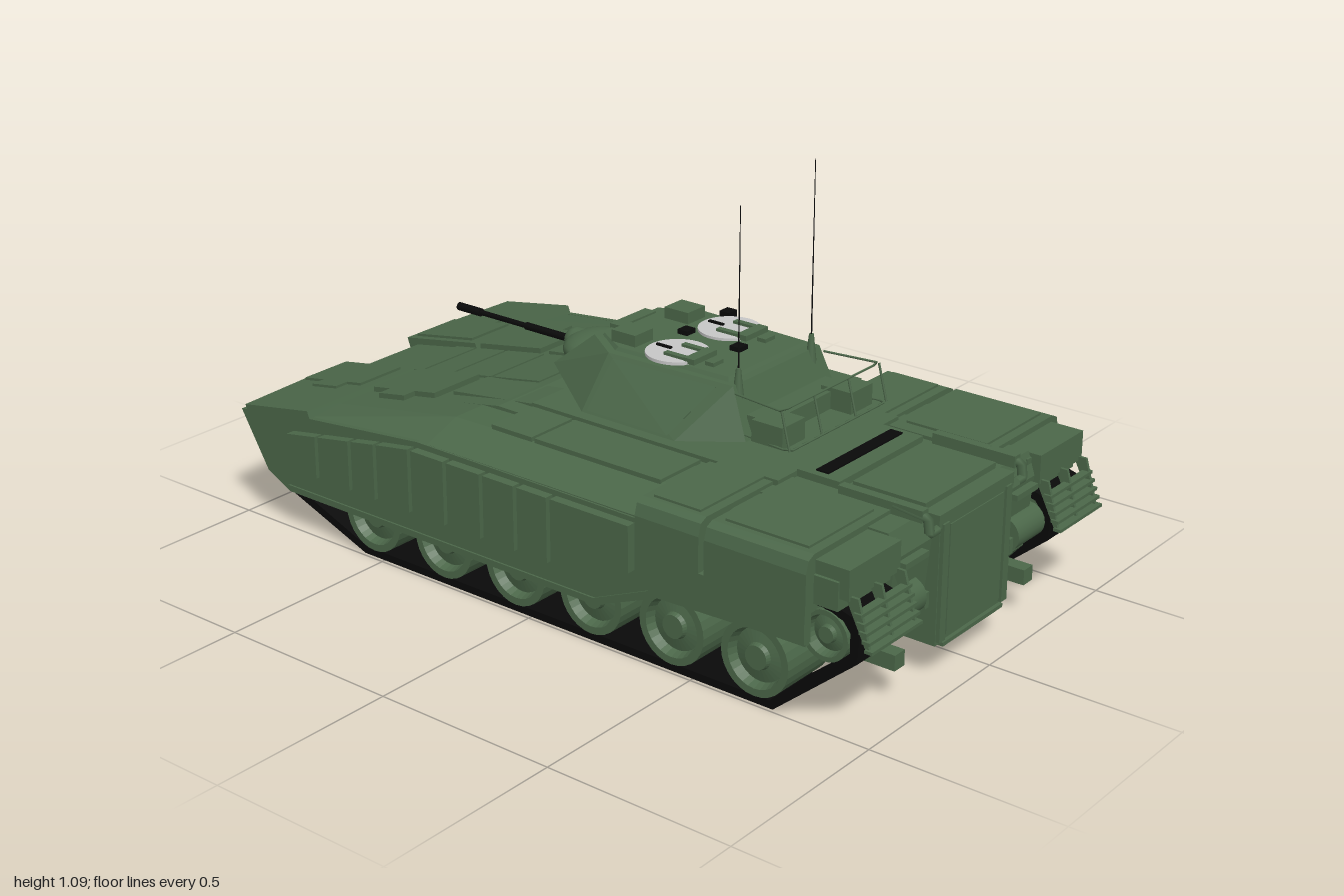
import * as THREE from 'three';
import { ConvexGeometry } from 'three/addons/geometries/ConvexGeometry.js';

const paint = (name, color) => Object.assign(new THREE.MeshStandardMaterial({ color }), { name });

export function createModel() {
  const green = paint('armour green', 0x4b6749);
  const black = paint('track black', 0x090909);
  const grey = paint('hatch grey', 0xc6c6c6);
  const model = new THREE.Group();
  model.name = 'trackedVehicle';

  const group = (name) => {
    const g = new THREE.Group();
    g.name = name;
    model.add(g);
    return g;
  };
  const add = (parent, name, geo, mat = green) => {
    const m = new THREE.Mesh(geo, mat);
    m.name = name;
    parent.add(m);
    return m;
  };
  // Box given by its limits on each axis
  const box = (parent, name, x0, x1, y0, y1, z0, z1, mat) =>
    add(parent, name, new THREE.BoxGeometry(Math.abs(x1 - x0), y1 - y0, z1 - z0)
      .translate((x0 + x1) / 2, (y0 + y1) / 2, (z0 + z1) / 2), mat);
  // Side profile of [z, y] points stretched from xa to xb
  const slab = (parent, name, profile, xa, xb, mat, hole) => {
    const shape = new THREE.Shape(profile.map((p) => new THREE.Vector2(...p)));
    if (hole) shape.holes.push(new THREE.Path(hole.map((p) => new THREE.Vector2(...p))));
    const geo = new THREE.ExtrudeGeometry(shape, { depth: Math.abs(xb - xa), bevelEnabled: false });
    geo.rotateY(-Math.PI / 2).translate(Math.max(xa, xb), 0, 0);
    return add(parent, name, geo, mat);
  };
  const hull = (parent, name, pts) =>
    add(parent, name, new ConvexGeometry(pts.map((p) => new THREE.Vector3(...p))));
  const axle = (parent, name, r, x0, x1, y, z, mat, sides = 24) =>
    add(parent, name, new THREE.CylinderGeometry(r, r, Math.abs(x1 - x0), sides)
      .rotateZ(Math.PI / 2).translate((x0 + x1) / 2, y, z), mat);
  const tube = (parent, name, pts, r, mat) => {
    const path = new THREE.CurvePath();
    const v = pts.map((p) => new THREE.Vector3(...p));
    for (let i = 1; i < v.length; i++) path.add(new THREE.LineCurve3(v[i - 1], v[i]));
    return add(parent, name, new THREE.TubeGeometry(path, pts.length * 6, r, 6), mat);
  };
  // Height of the sloping front deck
  const deck = (z) => Math.min(0.425, 0.425 + (z + 0.27) * 0.172);
  const plate = (parent, name, x0, x1, z0, z1, h, sink = 0.01) => slab(parent, name,
    [[z0, deck(z0) - sink], [z1, deck(z1) - sink], [z1, deck(z1) + h], [z0, deck(z0) + h]], x0, x1);

  // Central hull with sloping nose and belly
  const body = group('hull');
  slab(body, 'centralHull', [[0.9, 0.17], [0.92, 0.36], [0.9, 0.42], [-0.27, 0.425], [-0.96, 0.3],
    [-0.9, 0.15], [-0.6, 0.1], [0.6, 0.1], [0.84, 0.1]], -0.3, 0.3);
  box(body, 'rearDoorHousing', -0.15, 0.15, 0.09, 0.4, 0.55, 0.94);
  box(body, 'rearDoor', -0.115, 0.115, 0.11, 0.39, 0.94, 0.948);
  box(body, 'doorHeader', -0.16, 0.16, 0.39, 0.425, 0.85, 0.945);
  box(body, 'doorSill', -0.13, 0.13, 0.085, 0.095, 0.9, 0.95);
  for (const x of [-0.135, 0.135]) box(body, 'doorFrame', x - 0.012, x + 0.012, 0.1, 0.4, 0.935, 0.95);
  box(body, 'rearRoofHatch', -0.15, 0.15, 0.42, 0.44, 0.7, 0.9);
  box(body, 'roofVentFrame', -0.175, 0.175, 0.42, 0.44, 0.56, 0.68);
  box(body, 'roofVent', -0.155, 0.155, 0.438, 0.444, 0.6, 0.635, black);
  box(body, 'midDeck', -0.25, 0.25, 0.41, 0.436, -0.2, 0.56);

  // Nose steps on the centre line
  for (const [a, b] of [[-0.8, -0.72], [-0.72, -0.61], [-0.61, -0.47], [-0.47, -0.3]])
    plate(body, 'centreNosePlate', -0.105, 0.105, a + 0.005, b - 0.005, 0.004);

  for (const s of [-1, 1]) {
    const side = group(s > 0 ? 'leftSide' : 'rightSide');
    const X = (x) => s * x;

    // Sponson: level part, then the wedge to the nose
    const section = (z, inner, outer, low) => [[X(0.28), inner, z], [X(0.4), inner, z],
      [X(0.505), outer, z], [X(0.505), low, z], [X(0.28), low, z]];
    hull(side, 'rearSponson', [...section(0.91, 0.405, 0.38, 0.31), ...section(0.3, 0.425, 0.375, 0.31)]);
    hull(side, 'midSponson', [...section(0.3, 0.425, 0.375, 0.31), ...section(-0.32, 0.415, 0.375, 0.31)]);
    hull(side, 'frontSponson', [...section(-0.32, 0.415, 0.375, 0.31), ...section(-0.8, 0.333, 0.325, 0.3)]);
    hull(side, 'noseSponson', [...section(-0.8, 0.333, 0.325, 0.3), ...section(-0.985, 0.302, 0.3, 0.28)]);

    // Nose blocks and stepped armour plates
    hull(side, 'noseBlock', [[-0.74, 0.12, 0.51], [-0.975, 0.12, 0.51], [-1, 0.12, 0.2]].flatMap(([z, a, b]) =>
      [a, b].flatMap((x) => [[X(x), deck(z) + 0.012, z], [X(x), deck(z) - 0.02, z + 0.012]])));
    plate(side, 'nosePlate', X(0.12), X(0.29), -0.72, -0.5, 0.013);
    plate(side, 'nosePlateStep', X(0.29), X(0.33), -0.66, -0.57, 0.013);
    plate(side, 'noseBlockStep', X(0.29), X(0.33), -0.91, -0.82, 0.019);
    plate(side, 'noseBlockPad', X(0.14), X(0.29), -0.98, -0.77, 0.019);
    plate(side, 'driverDeck', X(0.12), X(0.25), -0.47, -0.2, 0.008);
    box(side, 'sideDeckFront', X(0.26), X(0.41), 0.42, 0.432, -0.19, -0.06);
    box(side, 'sideDeckRear', X(0.26), X(0.41), 0.42, 0.432, -0.05, 0.34);

    // Rear stowage boxes with rounded upper edges
    for (const [z0, z1, x1] of [[0.36, 0.545, 0.53], [0.565, 0.845, 0.535]]) {
      hull(side, 'stowageBox', [z0, z1].flatMap((z) => [[0.2, 0.405], [0.2, 0.43], [x1 - 0.03, 0.43],
        [x1 - 0.009, 0.42], [x1, 0.39], [x1, 0.29], [0.4, 0.29]].map(([x, y]) => [X(x), y, z])));
      box(side, 'stowageLid', X(0.24), X(0.49), 0.43, 0.436, z0 + 0.025, z1 - 0.025);
    }
    box(side, 'rearEndCap', X(0.3), X(0.5), 0.34, 0.415, 0.84, 0.935);
    box(side, 'roofRail', X(0.185), X(0.21), 0.42, 0.45, 0.7, 0.93);
    tube(side, 'rearHose', [[X(0.2), 0.44, 0.85], [X(0.2), 0.43, 0.94], [X(0.2), 0.395, 0.945], [X(0.17), 0.395, 0.945]], 0.012);

    // Side skirt and its bolted panels
    slab(side, 'skirt', [[0.83, 0.37], [0.83, 0.2], [0.43, 0.195], [0.22, 0.11], [-0.82, 0.11],
      [-0.9, 0.15], [-0.99, 0.3], [-0.8, 0.33], [-0.35, 0.375]], X(0.495), X(0.51));
    slab(side, 'skirtRearBand', [[0.84, 0.3], [0.84, 0.215], [0.42, 0.2], [0.36, 0.235], [0.36, 0.3]], X(0.505), X(0.53));
    const cuts = [0.35, 0.1, -0.005, -0.115, -0.235, -0.355, -0.475, -0.565, -0.685, -0.8];
    const top = (z) => Math.min(0.36, 0.36 + (z + 0.37) * 0.17);
    for (let i = 0; i < cuts.length - 1; i++) {
      const a = cuts[i] - 0.006, b = cuts[i + 1] + 0.006;
      slab(side, 'skirtPanel', [[a, i ? 0.19 : 0.24], [b, 0.19], [b, top(b)], [a, top(a)]], X(0.505), X(0.535));
    }
    slab(side, 'skirtLowerRail', [[0.42, 0.215], [0.22, 0.13], [-0.82, 0.13], [-0.82, 0.115], [0.2, 0.115], [0.42, 0.2]], X(0.505), X(0.515));

    // Track band
    const run = group(s > 0 ? 'leftRunningGear' : 'rightRunningGear');
    slab(run, 'track', [[0.73, 0], [-0.57, 0], [-0.9, 0.125], [-0.985, 0.275], [-0.95, 0.29],
      [-0.8, 0.3], [0.87, 0.32], [0.94, 0.3], [0.96, 0.26], [0.955, 0.19]], X(0.32), X(0.49), black,
    [[0.72, 0.02], [0.935, 0.2], [0.935, 0.26], [0.915, 0.285], [0.86, 0.3], [-0.8, 0.28],
      [-0.94, 0.268], [-0.885, 0.145], [-0.565, 0.02]]);

    // Road wheels: dished outer face, turned about the axle
    const dish = [[0, 0.16], [0.03, 0.16], [0.034, 0.148], [0.068, 0.14], [0.076, 0.165], [0.095, 0.165], [0.095, 0], [0, 0]]
      .map((p) => new THREE.Vector2(...p)).reverse();
    const wheel = (name, y, z, k) => {
      const m = add(run, name, new THREE.LatheGeometry(dish, 28).toNonIndexed());
      m.geometry.computeVertexNormals();
      m.rotation.z = -s * Math.PI / 2;
      m.scale.set(k, 1, k);
      m.position.set(X(0.33), y, z);
    };
    for (const z of [0.68, 0.44, 0.195, -0.045, -0.285, -0.53]) {
      wheel('roadWheel', 0.115, z, 1);
      axle(run, 'wheelAxle', 0.025, X(0.27), X(0.34), 0.115, z, green, 12);
      slab(run, 'swingArm', [[z, 0.095], [z, 0.135], [z - 0.1, 0.17], [z - 0.1, 0.13]], X(0.295), X(0.315));
    }
    wheel('rearSprocket', 0.235, 0.87, 0.66);
    wheel('frontIdler', 0.225, -0.87, 0.5);
    axle(run, 'finalDrive', 0.045, X(0.2), X(0.32), 0.235, 0.9, green, 20);

    // Rear mudguard slats on brackets, tow hooks and lamps
    for (let i = 0; i < 5; i++) {
      const y = 0.23 + i * 0.02, z = 0.993 - i * 0.008;
      box(side, 'mudguardSlat', X(0.3), X(0.5), y, y + 0.008, z - 0.014, z + 0.007);
    }
    for (const x of [0.31, 0.4, 0.49])
      slab(side, 'mudguardBracket', [[0.98, 0.23], [0.99, 0.23], [0.955, 0.35], [0.92, 0.35]], X(x - 0.004), X(x + 0.004));
    box(side, 'rearTowHook', X(0.26), X(0.3), 0.085, 0.125, 0.8, 0.93);
    box(side, 'rearLamp', X(0.175), X(0.19), 0.2, 0.24, 0.9, 0.935);
    box(side, 'rearHandle', X(0.19), X(0.285), 0.335, 0.35, 0.91, 0.94);
    const hook = add(side, 'frontTowHook', new THREE.TorusGeometry(0.016, 0.006, 6, 12).rotateY(Math.PI / 2));
    hook.position.set(X(0.2), 0.15, -0.905);
  }

  // Turret: faceted shell on a round ring
  const turret = group('turret');
  add(turret, 'turretRing', new THREE.CylinderGeometry(0.19, 0.19, 0.05, 40).scale(1, 1, 1.3).translate(0, 0.452, 0.13));
  const both = (pts) => pts.flatMap(([x, y, z]) => [[x, y, z], [-x, y, z]]);
  hull(turret, 'turretShell', both([[0.15, 0.467, -0.17], [0.16, 0.515, -0.205], [0.27, 0.465, -0.02],
    [0.272, 0.465, 0.27], [0.19, 0.475, 0.42], [0.125, 0.605, -0.1], [0.19, 0.6, 0.0], [0.175, 0.6, 0.37]]));
  hull(turret, 'roofPlate', both([[0.12, 0.595, -0.09], [0.175, 0.595, 0], [0.165, 0.595, 0.35],
    [0.11, 0.61, -0.08], [0.165, 0.61, 0.01], [0.155, 0.61, 0.34]]));
  for (const s of [-1, 1]) hull(turret, 'cheekPlate', [[0.275, 0.475, 0], [0.277, 0.475, 0.25], [0.2, 0.592, 0.02],
    [0.19, 0.592, 0.33], [0.24, 0.475, 0.01], [0.24, 0.475, 0.24]].map(([x, y, z]) => [s * x, y, z]));

  // Gun with mantlet
  const gun = group('gun');
  add(gun, 'mantletCollar', new THREE.SphereGeometry(0.1, 20, 12).scale(1, 0.42, 0.9).translate(0, 0.515, -0.19));
  add(gun, 'mantlet', new THREE.CapsuleGeometry(0.034, 0.07, 6, 16).rotateX(Math.PI / 2).translate(0, 0.515, -0.23));
  const barrel = (name, r, z0, z1) => add(gun, name,
    new THREE.CylinderGeometry(r, r, z1 - z0, 12).rotateX(Math.PI / 2).translate(0, 0.512, (z0 + z1) / 2), black);
  barrel('barrel', 0.007, -0.66, -0.26);
  barrel('barrelSleeve', 0.01, -0.44, -0.28);
  barrel('muzzle', 0.011, -0.68, -0.6);

  // Crew hatches, sights and periscopes on the roof
  for (const x of [-0.108, 0.1]) {
    add(turret, 'hatchDisc', new THREE.CylinderGeometry(0.08, 0.08, 0.008, 36).translate(x, 0.613, 0.15), grey);
    box(turret, 'hatchHinge', x - 0.045, x + 0.045, 0.612, 0.626, 0.205, 0.235);
    for (const d of [-0.035, 0.035]) box(turret, 'hatchArm', x + d - 0.008, x + d + 0.008, 0.612, 0.624, 0.14, 0.21);
    box(turret, 'hatchHandle', x - 0.004, x + 0.004, 0.612, 0.622, 0.085, 0.13, black);
    box(turret, 'sightBox', x - 0.035, x + 0.035, 0.6, 0.64, -0.03, 0.045);
    box(turret, 'periscope', x - 0.02, x + 0.02, 0.605, 0.62, 0.25, 0.275);
  }
  for (const [x, z] of [[0.185, 0.08], [0.015, 0.08], [0.005, 0.25]])
    box(turret, 'periscopeGlass', x - 0.017, x + 0.017, 0.6, 0.622, z - 0.015, z + 0.015, black);
  box(turret, 'frontRoofRib', -0.06, 0.08, 0.6, 0.615, -0.105, -0.07);

  // Rear stowage bins, wire basket and antennas
  box(turret, 'rearBin', -0.16, 0.16, 0.485, 0.53, 0.4, 0.47);
  for (const x of [-0.15, 0.13]) box(turret, 'rearCanister', x - 0.045, x + 0.045, 0.485, 0.54, 0.44, 0.53);
  for (const y of [0.49, 0.585]) {
    const z = y > 0.5 ? 0.53 : 0.555;
    tube(turret, 'basketRail', [[-0.18, y, 0.38], [-0.2, y, z], [0.2, y, z], [0.18, y, 0.38]], 0.003);
  }
  for (const x of [-0.2, -0.07, 0.07, 0.2]) tube(turret, 'basketPost', [[x, 0.49, 0.555], [x, 0.585, 0.53]], 0.003);
  for (const [x, h] of [[-0.155, 1.04], [0.14, 1.085]]) {
    add(turret, 'antennaBase', new THREE.CylinderGeometry(0.006, 0.015, 0.08, 10).translate(x, 0.6, 0.37));
    add(turret, 'antenna', new THREE.CylinderGeometry(0.001, 0.002, h - 0.63, 6).translate(x, (h + 0.63) / 2, 0.37), black);
  }
  return model;
}
